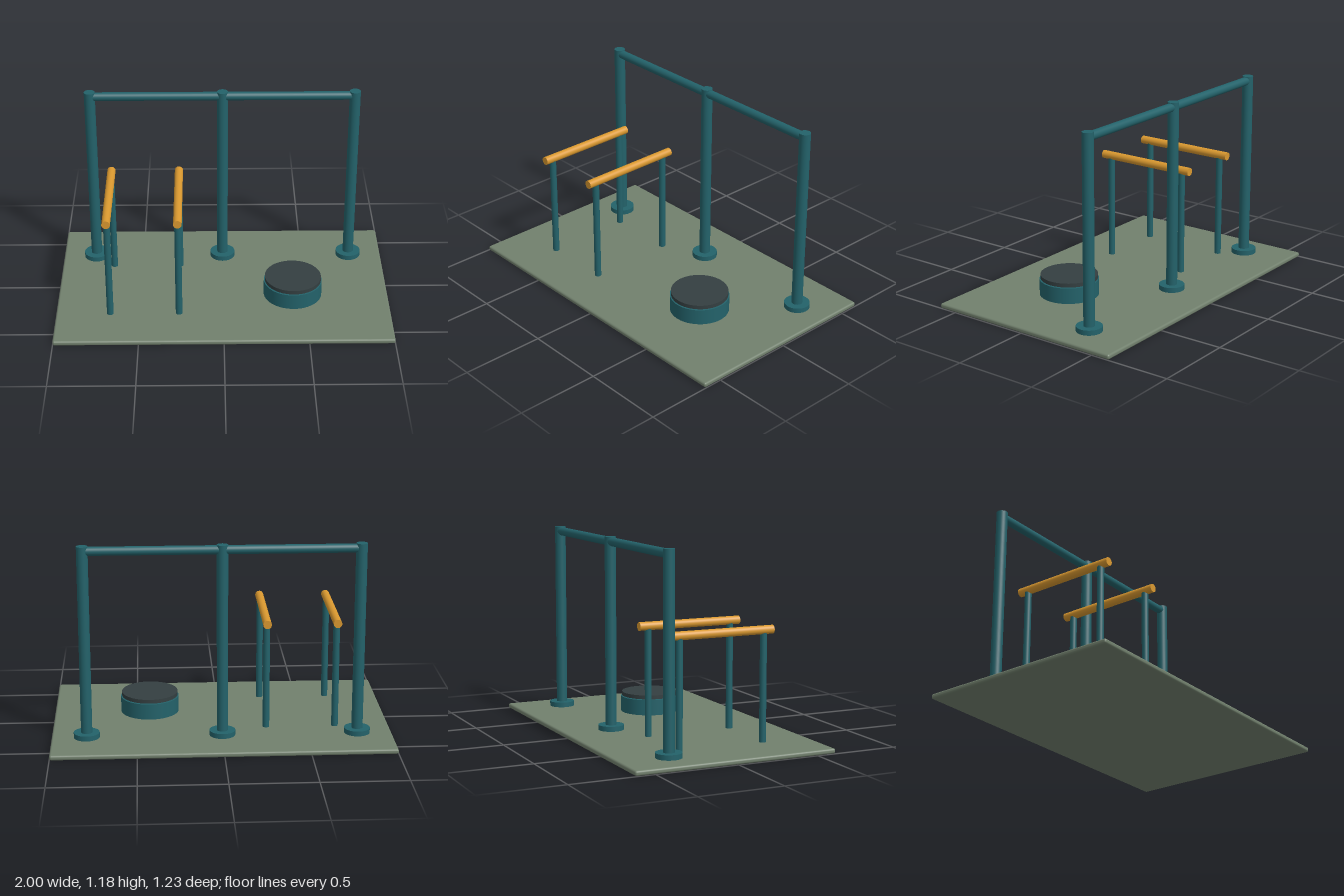
import * as THREE from 'three';
import { RoundedBoxGeometry } from 'three/addons/geometries/RoundedBoxGeometry.js';

const material = (name, color) => {
  const m = new THREE.MeshStandardMaterial({ color });
  m.name = name;
  return m;
};

export function createModel() {
  const model = new THREE.Group();
  const teal = material('teal paint', 0x23626a);
  const amber = material('amber grip', 0xd9982f);
  const ground = material('sage rubber', 0x71806d);
  const dark = material('charcoal pad', 0x343f41);

  const add = (name, geometry, mat, x, y, z) => {
    const mesh = new THREE.Mesh(geometry, mat);
    mesh.name = name;
    mesh.position.set(x, y, z);
    model.add(mesh);
    return mesh;
  };
  // Upright cylinder between two heights
  const upright = (name, r, y0, y1, x, z, mat, sides = 32) =>
    add(name, new THREE.CylinderGeometry(r, r, y1 - y0, sides), mat, x, (y0 + y1) / 2, z);

  // Rubber ground mat with softened edges
  const matTop = 0.03;
  add('groundMat', new RoundedBoxGeometry(2, matTop, 1.234, 3, 0.012), ground, 0, matTop / 2, 0);

  // Pull-up frame: three flanged posts joined by two bars
  const frameZ = -0.325;
  const postX = [-0.795, 0, 0.795];
  for (const x of postX) {
    upright('framePost', 0.033, matTop, 1.178, x, frameZ, teal);
    upright('postFlange', 0.076, matTop, 0.06, x, frameZ, teal);
  }
  for (const side of [-1, 1]) {
    const bar = upright('pullUpBar', 0.026, 0, 0.795, side * 0.3975, frameZ, teal);
    bar.position.y = 1.149;
    bar.rotation.z = Math.PI / 2;
  }

  // Parallel dip bars, each on two legs
  for (const x of [-0.677, -0.266]) {
    const grip = upright('dipBar', 0.025, 0, 0.647, x, 0.06, amber);
    grip.position.y = 0.679;
    grip.rotation.x = Math.PI / 2;
    for (const z of [0.325, -0.205]) upright('dipBarLeg', 0.02, matTop, 0.668, x, z, teal);
  }

  // Round step with a padded top
  upright('stepDrum', 0.176, matTop, 0.126, 0.422, 0.117, teal, 48);
  upright('stepPad', 0.17, 0.13, 0.154, 0.422, 0.117, dark, 48);

  return model;
}
